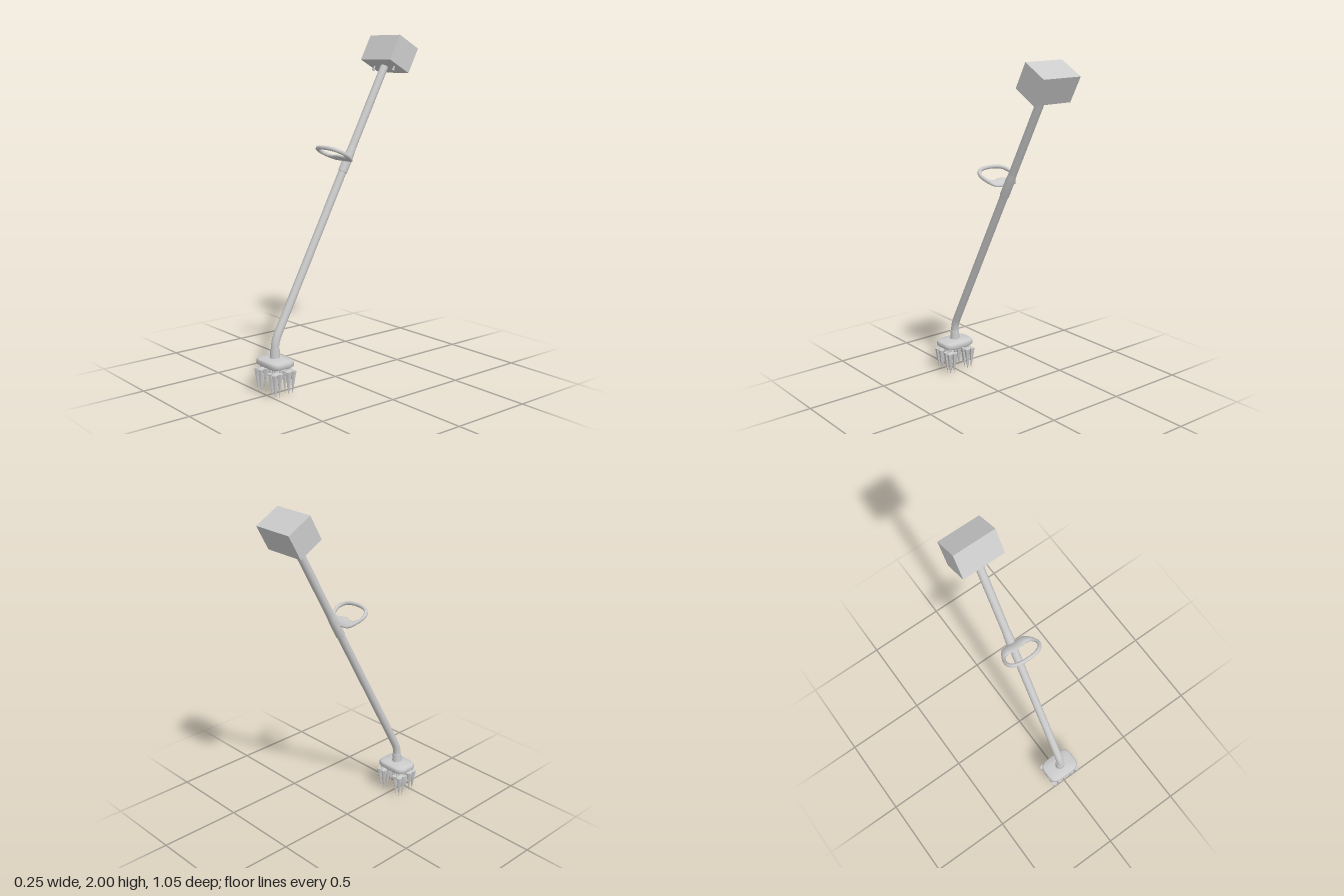
import * as THREE from 'three';
import { mergeVertices } from 'three/addons/utils/BufferGeometryUtils.js';

const smooth = new THREE.MeshStandardMaterial({ color: 0xcccccc });
const flat = new THREE.MeshStandardMaterial({ color: 0xcccccc, flatShading: true });
const v2 = (p) => new THREE.Vector2(p[0], p[1]);

function add(parent, name, geometry, material, x = 0, y = 0, z = 0) {
  const mesh = new THREE.Mesh(geometry, material);
  mesh.name = name;
  mesh.position.set(x, y, z);
  parent.add(mesh);
  return mesh;
}

// Weld seams and rebuild normals after vertices were moved
function weld(geometry) {
  geometry.deleteAttribute('uv');
  geometry.deleteAttribute('normal');
  const g = mergeVertices(geometry, 1e-5);
  g.computeVertexNormals();
  return g;
}

// Closed outline mirrored in x, from a half that runs back to front
function mirroredLoop(half) {
  const other = half.slice(1, -1).reverse().map(([x, z]) => [-x, z]);
  const pts = [...half, ...other].map(([x, z]) => new THREE.Vector3(x, 0, z));
  return new THREE.CatmullRomCurve3(pts, true);
}

// D-shaped ring: a torus whose sections stretch between two outlines
function handleGeometry() {
  const outer = mirroredLoop([[0, .012], [.07, .016], [.1, .061], [.118, .118], [.105, .163], [.065, .19], [0, .198]]);
  const inner = mirroredLoop([[0, .084], [.05, .073], [.085, .082], [.098, .124], [.08, .158], [.045, .173], [0, .177]]);
  const radial = 10, tubular = 24;
  const g = new THREE.TorusGeometry(1, .2, radial, tubular);
  const pos = g.attributes.position;
  for (let j = 0; j <= radial; j++) {
    const v = (j / radial) * Math.PI * 2;
    for (let i = 0; i <= tubular; i++) {
      const t = (i % tubular) / tubular;
      const p = inner.getPoint(t).lerp(outer.getPoint(t), .5 + .5 * Math.cos(v));
      pos.setXYZ(j * (tubular + 1) + i, p.x, -.012 * Math.sin(v), p.z);
    }
  }
  return weld(g);
}

// Rounded-square plate, domed on top and slightly hollow below
function plateGeometry() {
  const profile = [[0, .178], [.7, .174], [.9, .164], [1, .171], [1, .191], [.93, .201], [.5, .207], [0, .213]];
  const g = new THREE.LatheGeometry(profile.map(v2), 40);
  const pos = g.attributes.position;
  for (let i = 0; i < pos.count; i++) {
    const x = pos.getX(i), z = pos.getZ(i), r = Math.hypot(x, z);
    const k = r > 1e-6 ? r / Math.pow(x ** 4 + z ** 4, .25) : 1;
    pos.setX(i, x * k * .106);
    pos.setZ(i, z * k * .078);
  }
  return weld(g);
}

// Stem, cap and four inward-leaning spikes
function clawCluster() {
  const group = new THREE.Group();
  group.name = 'clawCluster';
  add(group, 'clawStem', new THREE.CylinderGeometry(.009, .009, .04, 10), smooth, 0, .157, 0);
  add(group, 'clawCap', new THREE.CylinderGeometry(.014, .024, .012, 12), smooth, 0, .142, 0);
  for (const sx of [-1, 1]) for (const sz of [-1, 1]) {
    const spike = new THREE.ConeGeometry(.018, .14, 6);
    spike.rotateX(Math.PI);
    const pos = spike.attributes.position;
    for (let i = 0; i < pos.count; i++) {
      const lean = .014 + .07 * (pos.getY(i) + .07) / 2;
      pos.setX(i, pos.getX(i) + sx * lean);
      pos.setZ(i, pos.getZ(i) + sz * lean);
    }
    add(group, 'spike', spike, flat, 0, .07, 0);
  }
  return group;
}

export function createModel() {
  const model = new THREE.Group();
  model.name = 'poleCultivator';
  const baseZ = .44;

  // Working head with four claw clusters
  const head = new THREE.Group();
  head.name = 'head';
  head.position.z = baseZ;
  model.add(head);
  add(head, 'headPlate', plateGeometry(), smooth);
  add(head, 'neckCollar', new THREE.CylinderGeometry(.027, .03, .065, 24), smooth, 0, .23, 0);
  for (const x of [-.067, .067]) for (const z of [-.046, .046]) {
    const cluster = clawCluster();
    cluster.position.set(x, 0, z);
    head.add(cluster);
  }

  // Everything along the tilted pole
  const stick = new THREE.Group();
  stick.name = 'stick';
  stick.position.set(0, .3, baseZ);
  stick.rotation.x = -.4917;
  model.add(stick);

  // Bent lower end joining the collar to the pole
  const bend = new THREE.QuadraticBezierCurve3(
    new THREE.Vector3(0, .25, baseZ),
    new THREE.Vector3(0, .3, baseZ),
    new THREE.Vector3(0, .3 + .05 * Math.cos(.4917), baseZ - .05 * Math.sin(.4917)));
  add(model, 'poleBend', new THREE.TubeGeometry(bend, 10, .0235, 24), smooth);
  add(stick, 'pole', new THREE.CylinderGeometry(.0235, .0235, 1.69, 24), smooth, 0, .89, 0);

  // Clamp sleeve and grip ring
  const sleeve = [[.0235, 1.04], [.027, 1.045], [.027, 1.15], [.0235, 1.2]];
  add(stick, 'handleSleeve', new THREE.LatheGeometry(sleeve.map(v2), 24), smooth);
  add(stick, 'handle', handleGeometry(), smooth, 0, 1.11, 0);

  // Box housing with two small studs below
  add(stick, 'housing', new THREE.BoxGeometry(.255, .16, .165), flat, 0, 1.804, 0);
  for (const x of [-.085, .085]) {
    add(stick, 'stud', new THREE.CylinderGeometry(.005, .005, .022, 10), smooth, x, 1.715, 0);
    add(stick, 'studHead', new THREE.CylinderGeometry(.009, .009, .008, 10), smooth, x, 1.702, 0);
  }
  return model;
}
